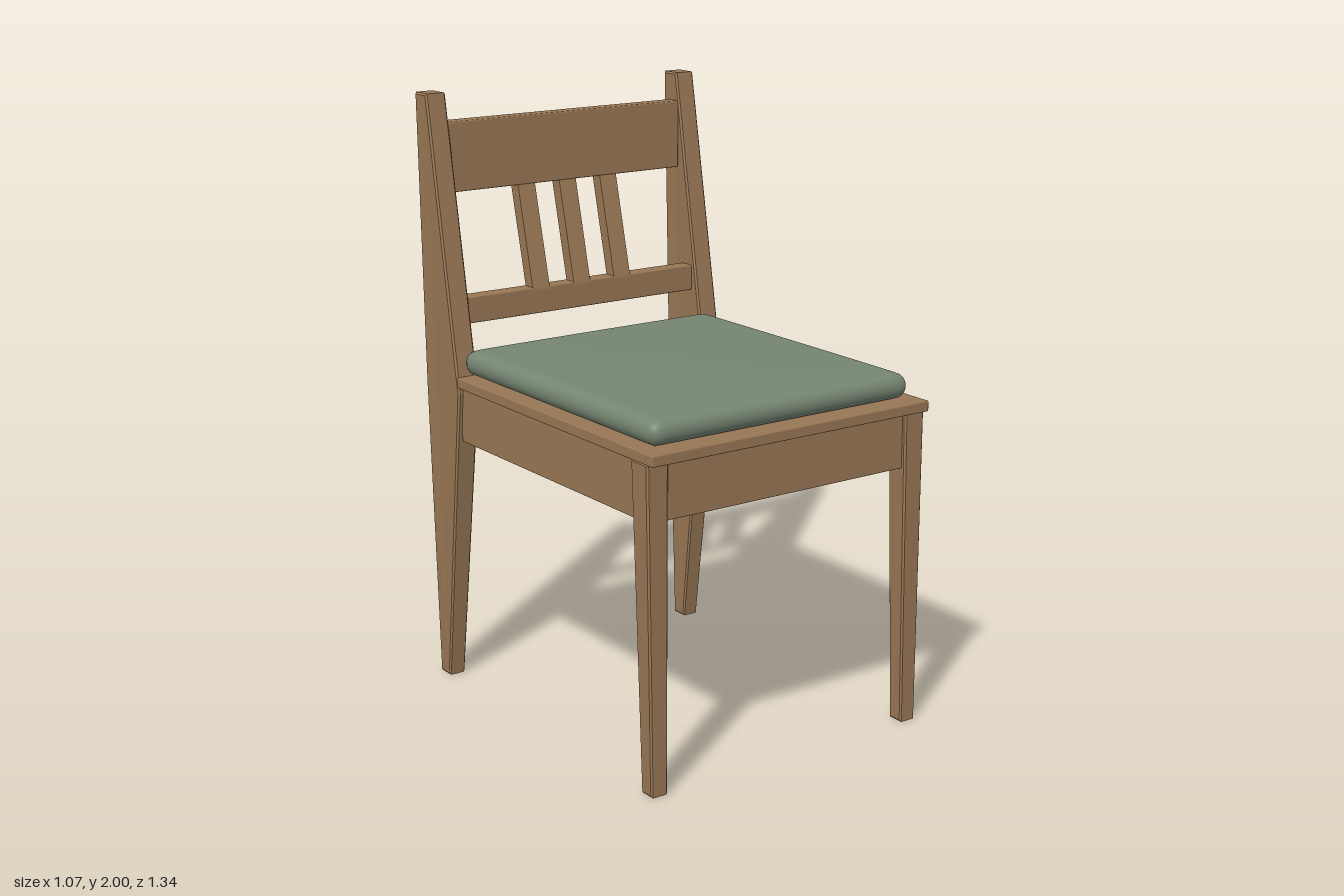
import * as THREE from 'three';
import { mergeVertices } from 'three/addons/utils/BufferGeometryUtils.js';
import { RoundedBoxGeometry } from 'three/addons/geometries/RoundedBoxGeometry.js';

const wood = new THREE.MeshStandardMaterial({ color: 0x987755 });
wood.name = 'wood';
const fabric = new THREE.MeshStandardMaterial({ color: 0x768672 });
fabric.name = 'sage fabric';

// Softly eased wooden board given by its extents
function board(name, [x0, x1], [y0, y1], [z0, z1]) {
  const geometry = new RoundedBoxGeometry(x1 - x0, y1 - y0, z1 - z0, 1, 0.005);
  geometry.translate((x0 + x1) / 2, (y0 + y1) / 2, (z0 + z1) / 2);
  const mesh = new THREE.Mesh(geometry, wood);
  mesh.name = name;
  return mesh;
}

// Leg from a side profile of [z, y] points; its width follows the height
function leg(name, profile, widthAt, side) {
  const bevel = 0.006;
  const shape = new THREE.Shape(profile.map(([z, y]) => new THREE.Vector2(z, y)));
  const geometry = new THREE.ExtrudeGeometry(shape, {
    depth: 1 - 2 * 0.08, bevelEnabled: true, bevelSegments: 1,
    bevelThickness: 0.08, bevelSize: bevel, bevelOffset: -bevel,
  });
  geometry.translate(0, 0, -0.42).rotateY(-Math.PI / 2);
  const p = geometry.attributes.position;
  for (let i = 0; i < p.count; i++) p.setX(i, side * 0.498 + p.getX(i) * widthAt(p.getY(i)));
  geometry.computeVertexNormals();
  const mesh = new THREE.Mesh(geometry, wood);
  mesh.name = name;
  return mesh;
}

// Padded seat: a box rounded on every edge, with a slight crown on top
function cushion() {
  const half = new THREE.Vector3(0.5, 0.0425, 0.5475);
  const r = 0.042;
  const geometry = new THREE.BoxGeometry(2, 2, 2, 24, 8, 24);
  geometry.deleteAttribute('uv');
  geometry.deleteAttribute('normal');
  const p = geometry.attributes.position;
  const v = new THREE.Vector3();
  const inner = new THREE.Vector3();
  const limit = half.clone().subScalar(r);
  const ease = (u) => Math.sign(u) * (1 - (1 - Math.abs(u)) ** 2);
  for (let i = 0; i < p.count; i++) {
    v.fromBufferAttribute(p, i);
    v.set(ease(v.x), v.y, ease(v.z)).multiply(half);
    inner.copy(v).clamp(limit.clone().negate(), limit);
    v.sub(inner).setLength(r).add(inner);
    if (v.y > 0) {
      const crown = Math.max(0, 1 - (v.x / half.x) ** 2) * Math.max(0, 1 - (v.z / half.z) ** 2);
      v.y += 0.011 * crown * (v.y / half.y);
    }
    p.setXYZ(i, v.x, v.y, v.z);
  }
  const smooth = mergeVertices(geometry, 1e-5);
  smooth.computeVertexNormals();
  const mesh = new THREE.Mesh(smooth, fabric);
  mesh.position.set(0, 1.128, 0.077);
  mesh.name = 'seatCushion';
  return mesh;
}

// Upright slat leaning back between the two rails
function slat(name, x) {
  const [y0, y1, lean] = [1.325, 1.68, 0.087];
  const geometry = new THREE.BoxGeometry(0.067, y1 - y0, 0.045);
  const p = geometry.attributes.position;
  for (let i = 0; i < p.count; i++) p.setZ(i, p.getZ(i) - (p.getY(i) / (y1 - y0)) * lean);
  geometry.computeVertexNormals();
  const mesh = new THREE.Mesh(geometry, wood);
  mesh.position.set(x, (y0 + y1) / 2, -0.565);
  mesh.name = name;
  return mesh;
}

export function createModel() {
  const chair = new THREE.Group();
  chair.name = 'chair';

  const frontProfile = [[0.6, 0], [0.656, 0], [0.648, 1.055], [0.563, 1.055]];
  const backProfile = [[-0.615, 0], [-0.555, 0], [-0.43, 1.03], [-0.598, 2], [-0.67, 2], [-0.643, 1.03]];
  const frontWidth = (y) => 0.06 + 0.018 * y;
  const backWidth = (y) => (y < 1.03 ? 0.06 + 0.018 * (y / 1.03) : 0.078 - 0.004 * ((y - 1.03) / 0.97));

  // Legs and side aprons, mirrored
  for (const [side, label] of [[1, 'left'], [-1, 'right']]) {
    chair.add(leg(label + 'FrontLeg', frontProfile, frontWidth, side));
    chair.add(leg(label + 'BackLeg', backProfile, backWidth, side));
    const xs = [0.485 * side, 0.52 * side].sort((a, b) => a - b);
    chair.add(board(label + 'Apron', xs, [0.865, 1.055], [-0.445, 0.58]));
  }

  // Seat frame
  chair.add(board('frontApron', [-0.463, 0.463], [0.865, 1.055], [0.6, 0.635]));
  chair.add(board('backApron', [-0.463, 0.463], [0.865, 1.055], [-0.485, -0.45]));
  chair.add(board('seatBoard', [-0.535, 0.535], [1.05, 1.086], [-0.5, 0.672]));
  chair.add(cushion());

  // Backrest
  chair.add(board('lowerBackRail', [-0.462, 0.462], [1.245, 1.335], [-0.555, -0.5]));
  chair.add(board('upperBackRail', [-0.462, 0.462], [1.672, 1.905], [-0.637, -0.583]));
  [-0.166, -0.002, 0.163].forEach((x, i) => chair.add(slat('backSlat' + (i + 1), x)));

  return chair;
}
